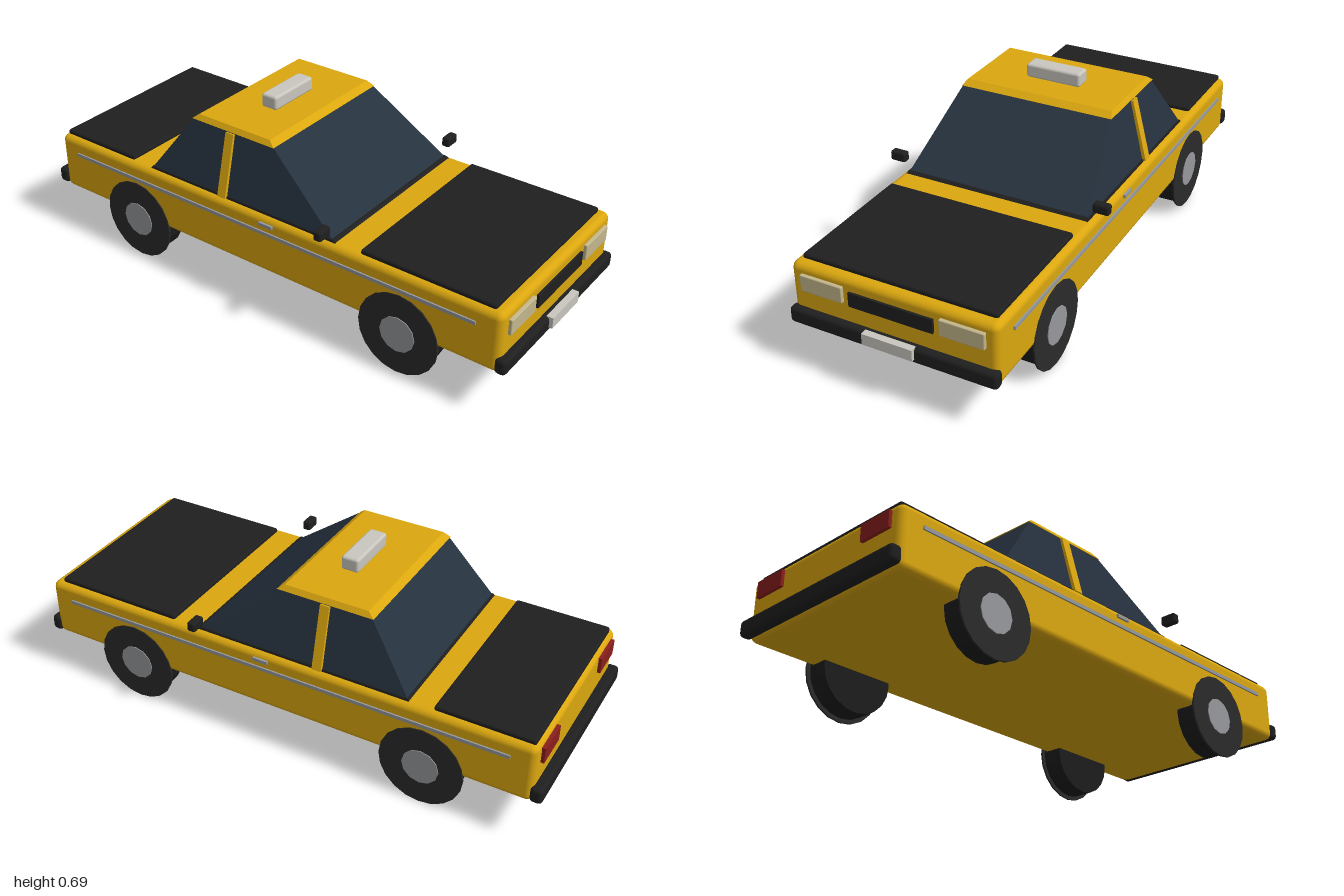
import * as THREE from 'three';
import { RoundedBoxGeometry } from 'three/addons/geometries/RoundedBoxGeometry.js';

const mat = (color, flatShading = false) => {
  const m = new THREE.MeshStandardMaterial({ flatShading });
  m.color.set(color);
  return m;
};
const yellow = mat(0xdba70f), black = mat(0x1f1f1f), glass = mat(0x26323f, true);
const rubber = mat(0x2a2a2a, true), drum = mat(0x1c1c1c, true), steel = mat(0x96989c);
const lamp = mat(0xc4b78c), red = mat(0x8a1f1c), white = mat(0xc8c6be), roofYellow = mat(0xdba70f, true);

export function createModel() {
  const car = new THREE.Group();
  car.name = 'car';

  const add = (name, geometry, material) => {
    const mesh = new THREE.Mesh(geometry, material);
    mesh.name = name;
    car.add(mesh);
    return mesh;
  };

  // Box given by its limits on each axis, rounded when r > 0
  const block = (name, [x0, x1], [y0, y1], [z0, z1], material, r = 0) => {
    const size = [x1 - x0, y1 - y0, z1 - z0];
    const geometry = r ? new RoundedBoxGeometry(...size, 2, r) : new THREE.BoxGeometry(...size);
    const mesh = add(name, geometry, material);
    mesh.position.set((x0 + x1) / 2, (y0 + y1) / 2, (z0 + z1) / 2);
    return mesh;
  };

  // Box whose top has its own half width and z limits
  const taper = (name, y0, y1, bottom, top, material) => {
    const geometry = new THREE.BoxGeometry(2, 1, 1);
    const p = geometry.attributes.position;
    for (let i = 0; i < p.count; i++) {
      const up = p.getY(i) > 0;
      const [half, zBack, zFront] = up ? top : bottom;
      p.setXYZ(i, Math.sign(p.getX(i)) * half, up ? y1 : y0, p.getZ(i) > 0 ? zFront : zBack);
    }
    geometry.computeVertexNormals();
    return add(name, geometry, material);
  };

  // Body, hood and trunk panels
  block('body', [-0.375, 0.375], [0.165, 0.39], [-0.965, 0.962], yellow, 0.025);
  block('hood', [-0.352, 0.352], [0.375, 0.405], [0.42, 0.925], black, 0.008);
  block('trunkLid', [-0.352, 0.352], [0.375, 0.405], [-0.95, -0.6], black, 0.008);

  // Cabin
  taper('cabinGlass', 0.38, 0.625, [0.353, -0.515, 0.325], [0.293, -0.338, 0.012], glass);
  taper('windowSeal', 0.385, 0.397, [0.356, -0.515, 0.326], [0.353, -0.506, 0.312], black);
  taper('roof', 0.621, 0.64, [0.297, -0.346, 0.02], [0.285, -0.322, -0.005], roofYellow);
  block('roofSign', [-0.107, 0.107], [0.638, 0.691], [-0.187, -0.12], white, 0.01);

  // Front
  block('frontBumper', [-0.38, 0.38], [0.17, 0.23], [0.945, 0.987], black, 0.015);
  block('grille', [-0.153, 0.153], [0.295, 0.346], [0.95, 0.971], black);
  block('frontPlate', [-0.092, 0.092], [0.19, 0.231], [0.975, 1], white);

  // Rear
  block('rearBumper', [-0.38, 0.38], [0.175, 0.235], [-1, -0.955], black, 0.015);

  for (const side of [-1, 1]) {
    const sideName = side > 0 ? 'left' : 'right';
    const span = (a, b) => (side > 0 ? [a, b] : [-b, -a]);

    block(sideName + 'Headlight', span(0.175, 0.333), [0.298, 0.358], [0.95, 0.974], lamp, 0.004);
    block(sideName + 'TailLight', span(0.2, 0.332), [0.31, 0.37], [-0.977, -0.95], red);
    block(sideName + 'Trim', span(0.365, 0.381), [0.323, 0.336], [-0.88, 0.872], steel);
    block(sideName + 'DoorHandle', span(0.365, 0.383), [0.358, 0.37], [0.015, 0.073], steel);
    block(sideName + 'Mirror', span(0.365, 0.425), [0.423, 0.46], [0.28, 0.312], black, 0.008);

    // Pillar leaning with the side windows
    const pillar = block(sideName + 'Pillar', [-0.01, 0.01], [-0.118, 0.118], [-0.186, -0.151], yellow);
    pillar.position.x = side * 0.324;
    pillar.position.y = 0.503;
    pillar.rotation.z = side * Math.atan2(0.058, 0.225);

    // Wheels: wide inner tyre, thin outer disc and hub cap
    for (const [end, z] of [['Front', 0.59], ['Rear', -0.575]]) {
      const ring = (part, radius, x0, x1, sides, material) => {
        const geometry = new THREE.CylinderGeometry(radius, radius, x1 - x0, sides).rotateZ(Math.PI / 2);
        const mesh = add(sideName + end + part, geometry, material);
        mesh.position.set(side * (x0 + x1) / 2, 0.155, z);
      };
      ring('Tyre', 0.14, 0.294, 0.374, 20, drum);
      ring('WheelDisc', 0.155, 0.372, 0.379, 20, rubber);
      ring('HubCap', 0.068, 0.37, 0.382, 12, steel);
    }
  }
  return car;
}
